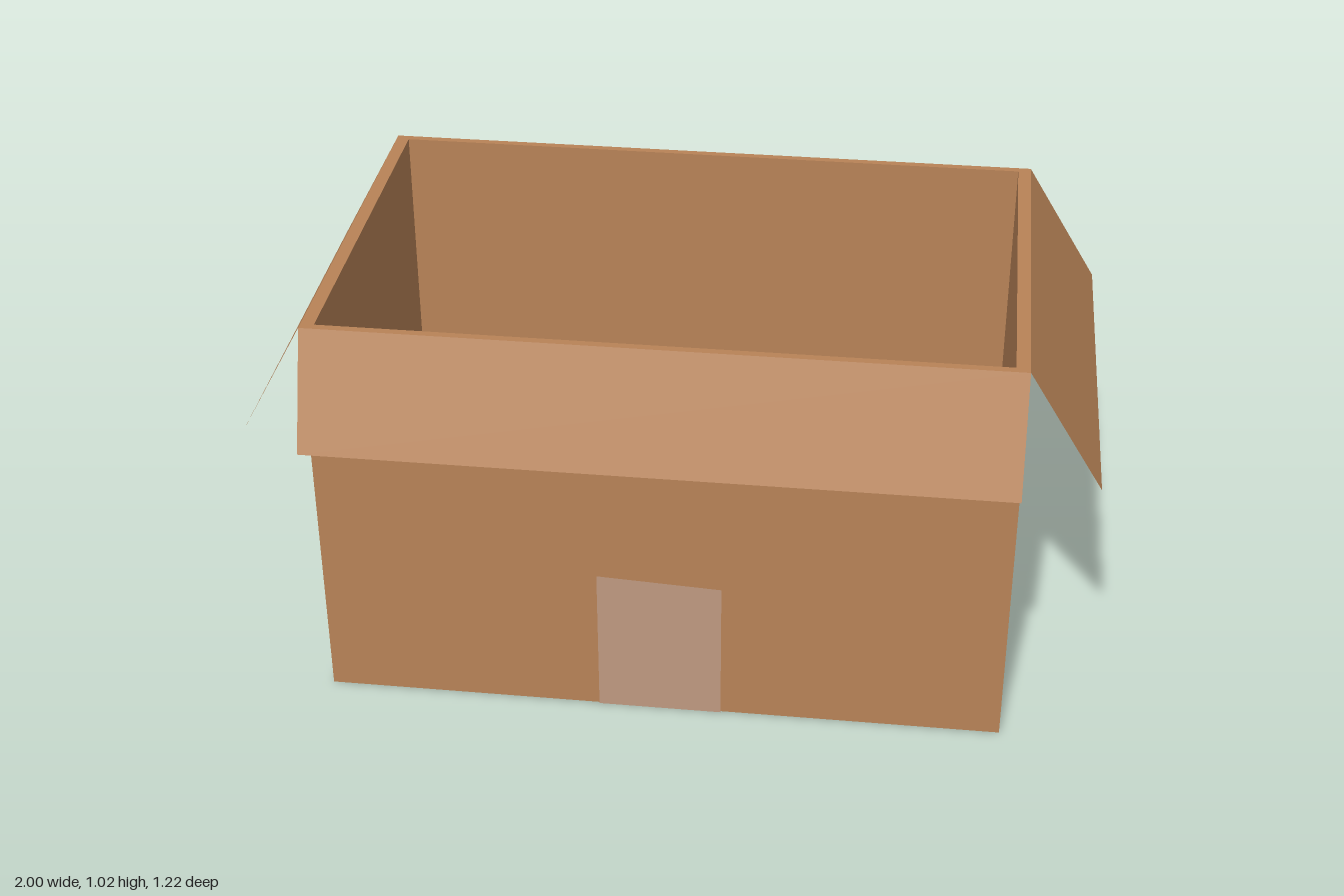
import * as THREE from 'three';

// Outer box limits, wall thickness and floor height
const X0 = -0.838, X1 = 0.818, Z0 = -0.519, Z1 = 0.503, H = 1.022;
const TX = 0.032, TZ = 0.019, FLOOR = 0.02;

const cardboard = new THREE.MeshStandardMaterial({ name: 'cardboard', color: 0xb88357 });
const flapCard = new THREE.MeshStandardMaterial({ name: 'flap cardboard', color: 0xb88357, side: THREE.DoubleSide });
const tape = new THREE.MeshStandardMaterial({ name: 'tape', color: 0xbf9980, side: THREE.DoubleSide });

// Flat four-cornered sheet, corners counter-clockwise seen from outside
function sheet(name, a, b, c, d, material) {
  const g = new THREE.BufferGeometry();
  g.setAttribute('position', new THREE.Float32BufferAttribute([a, b, c, d].flat(), 3));
  g.setIndex([0, 1, 2, 0, 2, 3]);
  g.computeVertexNormals();
  const m = new THREE.Mesh(g, material);
  m.name = name;
  return m;
}

function rectangle(PathType, x0, x1, z0, z1) {
  return new PathType([[x0, -z1], [x1, -z1], [x1, -z0], [x0, -z0]].map(p => new THREE.Vector2(...p)));
}

export function createModel() {
  const box = new THREE.Group();
  box.name = 'openBox';

  // Four walls as one hollow ring
  const ring = rectangle(THREE.Shape, X0, X1, Z0, Z1);
  ring.holes.push(rectangle(THREE.Path, X0 + TX, X1 - TX, Z0 + TZ, Z1 - TZ));
  const wallGeo = new THREE.ExtrudeGeometry(ring, { depth: H, bevelEnabled: false });
  wallGeo.rotateX(-Math.PI / 2);
  const walls = new THREE.Mesh(wallGeo, cardboard);
  walls.name = 'walls';

  // Floor inside the walls
  const floor = new THREE.Mesh(
    new THREE.BoxGeometry(X1 - X0 - 2 * TX, FLOOR, Z1 - Z0 - 2 * TZ), cardboard);
  floor.position.set((X0 + X1) / 2, FLOOR / 2, (Z0 + Z1) / 2);
  floor.name = 'floor';
  box.add(walls, floor);

  // Flaps folded outwards from the rim
  const longY = 0.745, sideY = 0.725, leftX = 1, rightX = -1, frontZ = 0.607, backZ = -0.61;
  box.add(
    sheet('frontFlap', [X0, longY, frontZ], [X1, longY, frontZ], [X1, H, Z1], [X0, H, Z1], flapCard),
    sheet('backFlap', [X1, longY, backZ], [X0, longY, backZ], [X0, H, Z0], [X1, H, Z0], flapCard),
    sheet('leftFlap', [leftX, sideY, Z1], [leftX, sideY, Z0], [X1, H, Z0], [X1, H, Z1], flapCard),
    sheet('rightFlap', [rightX, sideY, Z0], [rightX, sideY, Z1], [X0, H, Z1], [X0, H, Z0], flapCard));

  // Tape strip running up the front, under the base and up the back
  const t0 = -0.165, t1 = 0.136, e = 0.002;
  box.add(
    sheet('frontTape', [t0, -e, Z1 + e], [t1, -e, Z1 + e], [t1, 0.37, Z1 + e], [t0, 0.385, Z1 + e], tape),
    sheet('baseTape', [t0, -e, Z0 - e], [t1, -e, Z0 - e], [t1, -e, Z1 + e], [t0, -e, Z1 + e], tape),
    sheet('backTape', [t1, -e, Z0 - e], [t0, -e, Z0 - e], [-0.135, 0.36, Z0 - e], [t1, 0.365, Z0 - e], tape));

  box.position.y = e;
  const model = new THREE.Group();
  model.name = 'cardboardBox';
  model.add(box);
  return model;
}
